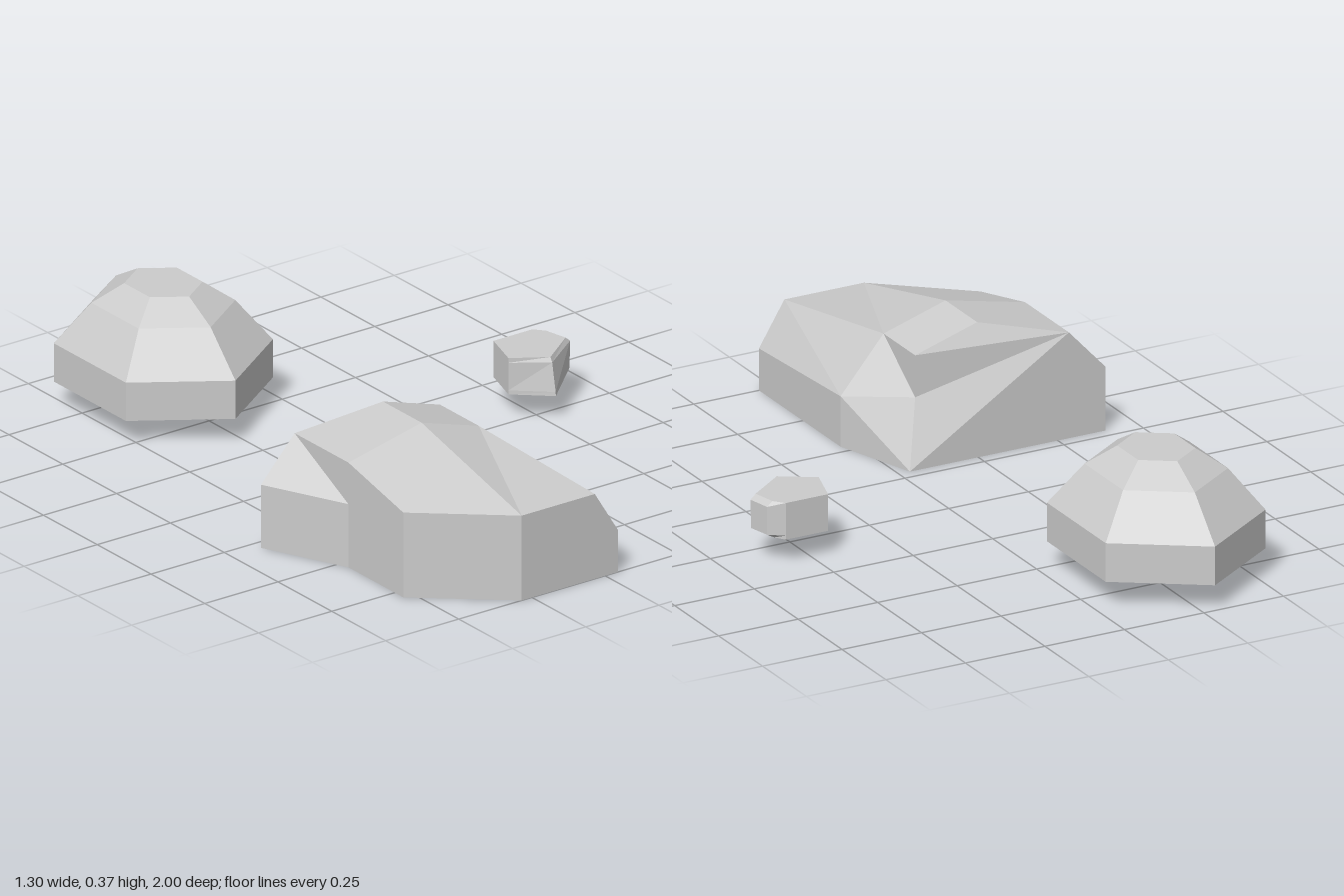
import * as THREE from 'three';

// Skins a list of equal-length closed rings and caps both ends with fans.
// Rings run counterclockwise seen from the end of the loft.
function loft(name, rings, startApex = 0, endApex = 0) {
  const n = rings[0].length, pos = [];
  const tri = (a, b, c) => pos.push(...a, ...b, ...c);
  for (let r = 0; r < rings.length - 1; r++) {
    for (let i = 0; i < n; i++) {
      const j = (i + 1) % n, lo = rings[r], hi = rings[r + 1];
      tri(lo[i], lo[j], hi[j]);
      tri(lo[i], hi[j], hi[i]);
    }
  }
  const first = rings[0], last = rings[rings.length - 1];
  for (let k = 1; k < n - 1; k++) {
    const s = startApex, e = endApex;
    tri(first[s], first[(s + k + 1) % n], first[(s + k) % n]);
    tri(last[e], last[(e + k) % n], last[(e + k + 1) % n]);
  }
  const geo = new THREE.BufferGeometry();
  geo.setAttribute('position', new THREE.Float32BufferAttribute(pos, 3));
  geo.computeVertexNormals();
  const mesh = new THREE.Mesh(geo, new THREE.MeshStandardMaterial({ color: 0xcccccc, flatShading: true }));
  mesh.name = name;
  return mesh;
}

export function createModel() {
  const group = new THREE.Group();
  group.name = 'rocks';

  // Large boulder: cross-sections from front to back, left foot over the top to right foot
  group.add(loft('largeRock', [
    [[-0.535, 0, 0.79], [-0.535, 0.125, 0.79], [-0.535, 0.255, 0.79], [-0.285, 0.255, 1],
      [-0.035, 0.255, 1], [0.045, 0.125, 1], [0.045, 0, 1], [-0.285, 0, 1]],
    [[-0.535, 0, 0.535], [-0.535, 0.19, 0.535], [-0.535, 0.315, 0.535], [-0.285, 0.37, 0.535],
      [-0.09, 0.31, 0.535], [0.045, 0.15, 0.535], [0.045, 0, 0.535], [-0.285, 0, 0.535]],
    [[-0.65, 0, 0.285], [-0.65, 0.19, 0.285], [-0.535, 0.315, 0.285], [-0.285, 0.37, 0.355],
      [-0.09, 0.31, 0.355], [-0.09, 0.185, 0.355], [-0.035, 0, 0.285], [-0.285, 0, 0.285]],
  ], 3, 2));

  // Domed six-sided rock: stacked hexagons, narrower in x
  const hexagon = ([r, y]) => Array.from({ length: 6 }, (_, i) => {
    const a = Math.PI / 6 + i * Math.PI / 3;
    return [-0.285 + 0.866 * r * Math.cos(a), y, -0.665 - r * Math.sin(a)];
  });
  group.add(loft('domedRock', [[0.335, 0.075], [0.335, 0.19], [0.22, 0.31], [0.12, 0.367]].map(hexagon)));

  // Small pebble: bevelled at its right end, front point leaning back
  const pebbleRing = (y, front, right) => [
    [0.42, y, -0.02], [0.518, y, front], [right, y, -0.045 - (front - 0.065) * 0.2],
    [right - 0.015, y, -0.11], [0.59, y, -0.14], [0.457, y, -0.14],
  ];
  group.add(loft('smallRock', [
    pebbleRing(0.075, 0.067, 0.625),
    pebbleRing(0.087, 0.066, 0.647),
    pebbleRing(0.17, 0.05, 0.647),
    pebbleRing(0.184, 0.042, 0.63),
  ]));
  return group;
}
